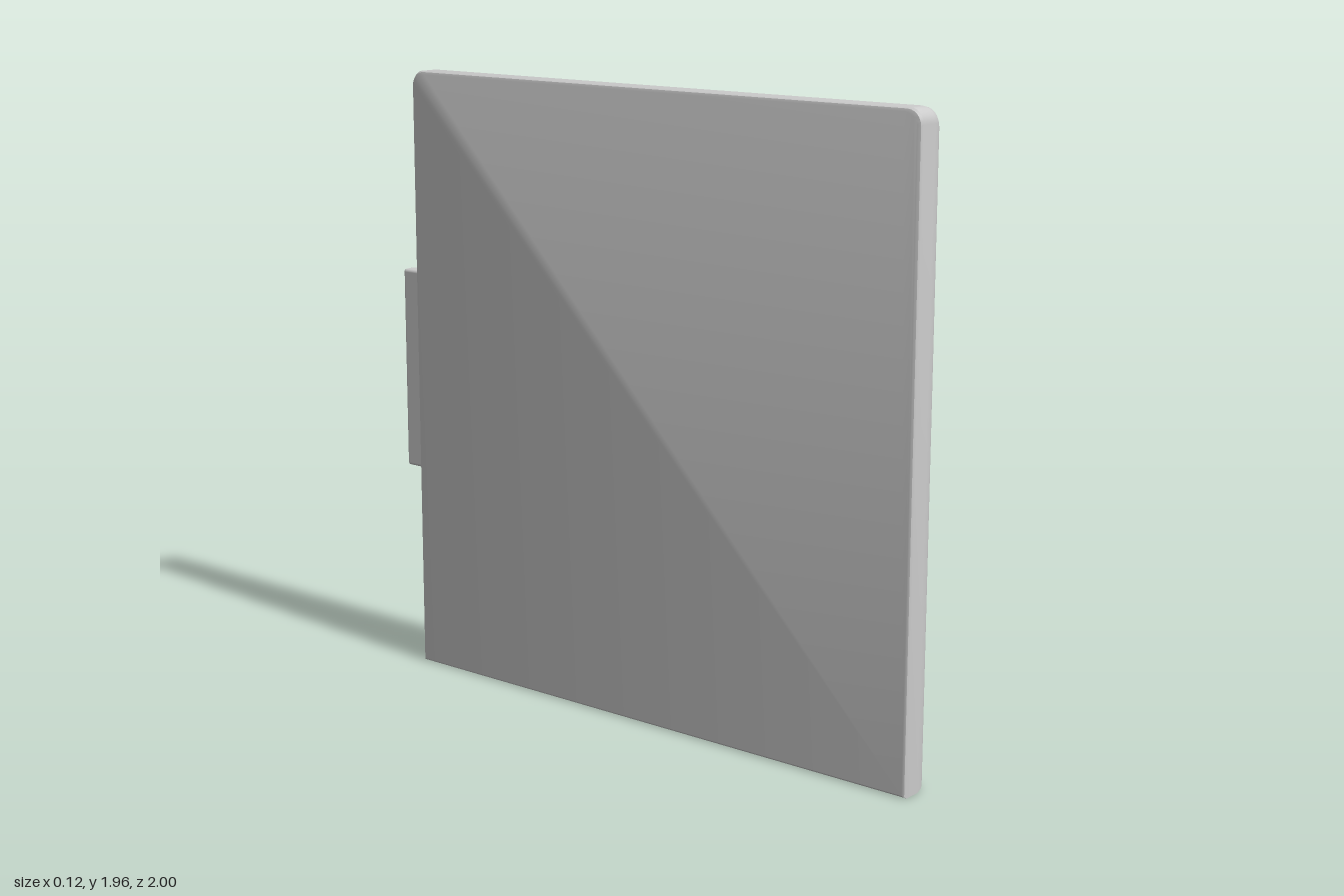
import * as THREE from 'three';
import { toCreasedNormals } from 'three/addons/utils/BufferGeometryUtils.js';
import { RoundedBoxGeometry } from 'three/addons/geometries/RoundedBoxGeometry.js';

const BACK = -0.92, FRONT = 1, TOP = 1.955;

// Panel outline as [z, y] pairs: square bottom corners, rounded top corners
function outline(inset) {
  const z0 = BACK + inset, z1 = FRONT - inset, y1 = TOP - inset;
  const y0 = Math.min(inset, 0.008), r = 0.045, steps = 6;
  const points = [[z1, y0], [z0, y0]];
  for (let i = 0; i <= steps; i++) {
    const a = (i / steps) * Math.PI / 2;
    points.push([z0 + r - r * Math.cos(a), y1 - r + r * Math.sin(a)]);
  }
  for (let i = 0; i <= steps; i++) {
    const a = (i / steps) * Math.PI / 2;
    points.push([z1 - r + r * Math.sin(a), y1 - r + r * Math.cos(a)]);
  }
  return points;
}

// Joins the outlines across the thickness and closes both faces
function panelGeometry(sections) {
  const positions = [], index = [];
  let n = 0;
  for (const [x, inset] of sections) {
    const ring = outline(inset);
    n = ring.length;
    for (const [z, y] of ring) positions.push(x, y, z);
  }
  const last = sections.length - 1;
  for (let i = 0; i < last; i++) {
    for (let j = 0; j < n; j++) {
      const k = (j + 1) % n;
      const a = i * n + j, b = i * n + k, c = b + n, d = a + n;
      index.push(a, b, c, a, c, d);
    }
  }
  for (let j = 1; j < n - 1; j++) {
    index.push(0, j + 1, j);
    index.push(last * n, last * n + j, last * n + j + 1);
  }
  const geometry = new THREE.BufferGeometry();
  geometry.setAttribute('position', new THREE.Float32BufferAttribute(positions, 3));
  geometry.setIndex(index);
  return toCreasedNormals(geometry, 0.6);
}

export function createModel() {
  const model = new THREE.Group();
  const material = new THREE.MeshStandardMaterial({ color: 0xcccccc });

  // Thin slab: small bevel on one face, wide soft rounding on the other
  const panel = new THREE.Mesh(panelGeometry([
    [-0.065, 0.012], [-0.062, 0.004], [-0.055, 0], [0, 0], [0.025, 0.005],
    [0.044, 0.015], [0.053, 0.028], [0.058, 0.045], [0.06, 0.065],
  ]), material);
  panel.name = 'panel';
  model.add(panel);

  // Narrow tab standing out of the back edge, its root sunk in the panel
  const tab = new THREE.Mesh(new RoundedBoxGeometry(0.05, 0.655, 0.12, 3, 0.01), material);
  tab.name = 'edgeTab';
  tab.position.set(-0.016, 0.982, -0.94);
  model.add(tab);

  return model;
}
